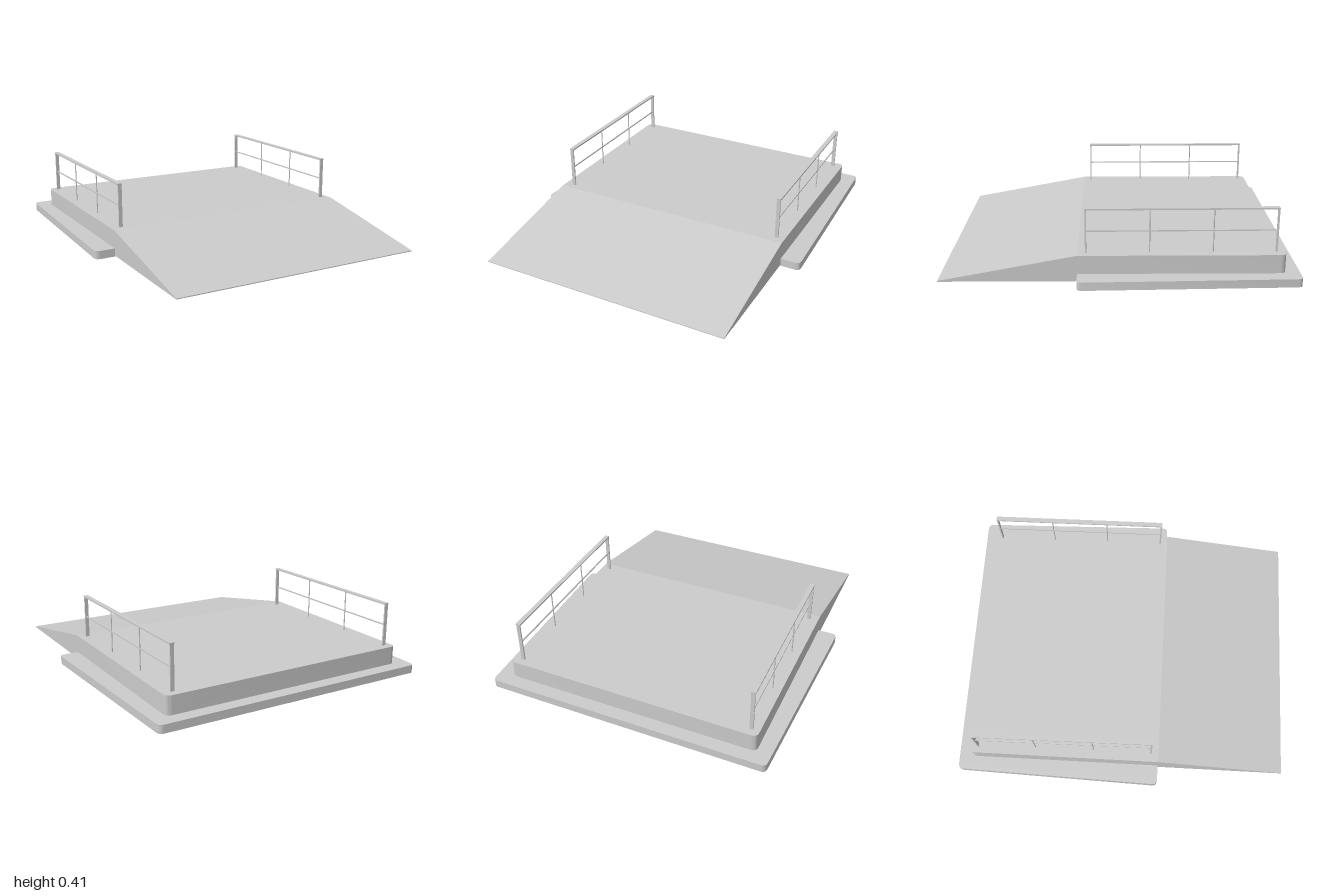
import * as THREE from 'three';
import { toCreasedNormals } from 'three/addons/utils/BufferGeometryUtils.js';

const material = new THREE.MeshStandardMaterial({ color: 0xcccccc });

function addMesh(parent, name, geometry, x = 0, y = 0, z = 0) {
  const mesh = new THREE.Mesh(geometry, material);
  mesh.name = name;
  mesh.position.set(x, y, z);
  parent.add(mesh);
  return mesh;
}

// Horizontal slab from a plan outline; corners are [x, z, radius], listed counter-clockwise from above
function planSlab(corners, bottom, top) {
  const shape = new THREE.Shape();
  const points = corners.map(([x, z]) => new THREE.Vector2(x, -z));
  const toward = (a, b, d) => a.clone().add(b.clone().sub(a).setLength(d));
  points.forEach((p, i) => {
    const r = corners[i][2];
    const before = toward(p, points.at(i - 1), r);
    const after = toward(p, points[(i + 1) % points.length], r);
    if (i === 0) shape.moveTo(before.x, before.y);
    else shape.lineTo(before.x, before.y);
    if (r > 0) shape.quadraticCurveTo(p.x, p.y, after.x, after.y);
  });
  shape.closePath();
  const geometry = new THREE.ExtrudeGeometry(shape, { depth: top - bottom, bevelEnabled: false, curveSegments: 6 });
  geometry.rotateX(-Math.PI / 2).translate(0, bottom, 0);
  return toCreasedNormals(geometry, 0.6);
}

// Handrail: flat top bar, thin middle rail, two flat end posts and two slim inner posts
function createRailing(name, x) {
  const railing = new THREE.Group();
  railing.name = name;
  const deckTop = 0.152, railTop = 0.412, half = 0.532;
  const postHeight = railTop - deckTop;
  addMesh(railing, 'topRail', new THREE.BoxGeometry(0.028, 0.009, 2 * half), 0, railTop - 0.0045, 0);
  addMesh(railing, 'middleRail', new THREE.BoxGeometry(0.007, 0.007, 2 * half), 0, 0.28, 0);
  for (let i = 0; i < 4; i++) {
    const isEnd = i === 0 || i === 3;
    const z = (half - 0.004) * (1 - (2 * i) / 3);
    const geometry = isEnd
      ? new THREE.BoxGeometry(0.022, postHeight, 0.008)
      : new THREE.CylinderGeometry(0.0035, 0.0035, postHeight, 8);
    addMesh(railing, isEnd ? 'endPost' : 'innerPost', geometry, 0, deckTop + postHeight / 2 - 0.003, z);
  }
  railing.position.set(x, 0, -0.345);
  railing.rotation.y = 0.01;
  return railing;
}

export function createModel() {
  const model = new THREE.Group();
  model.name = 'rampPlatform';

  // Low footing, slightly wider toward the front
  addMesh(model, 'footing', planSlab([
    [-0.883, 0.23, 0.03], [0.883, 0.23, 0.03], [0.847, -1, 0.03], [-0.847, -1, 0.03],
  ], 0, 0.048));

  // Raised deck with rounded back corners
  addMesh(model, 'deck', planSlab([
    [-0.765, 0.23, 0], [0.765, 0.23, 0], [0.765, -0.92, 0.035], [-0.765, -0.92, 0.035],
  ], 0.005, 0.155));

  // Sloping ramp, a side profile swept across the width
  const profile = new THREE.Shape([
    new THREE.Vector2(-0.23, 0.005), new THREE.Vector2(-0.23, 0.155),
    new THREE.Vector2(-1, 0.01), new THREE.Vector2(-1, 0.005),
  ]);
  const ramp = new THREE.ExtrudeGeometry(profile, { depth: 1.53, bevelEnabled: false });
  ramp.translate(0, 0, -0.765).rotateY(Math.PI / 2);
  addMesh(model, 'ramp', ramp);

  // Railings along both sides of the deck
  model.add(createRailing('leftRailing', 0.709), createRailing('rightRailing', -0.711));
  return model;
}
